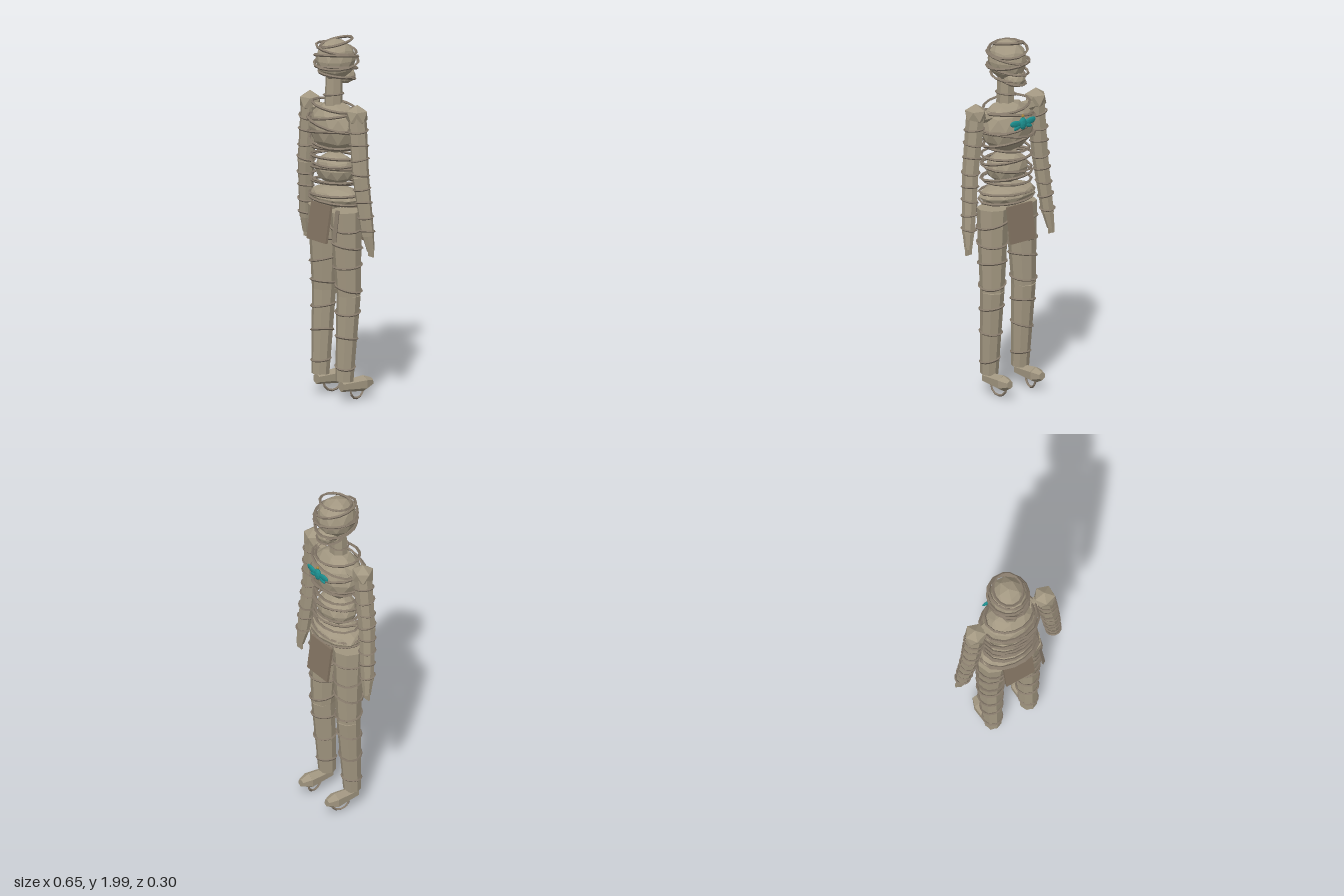
import * as THREE from 'three';

const V = (x, y, z) => new THREE.Vector3(x, y, z);

export function createModel() {
  const root = new THREE.Group();
  const mat = (name, color) => new THREE.MeshStandardMaterial({ name, color, flatShading: true, side: THREE.DoubleSide });
  const linen = mat('linen', 0xa29781);
  const wrap = mat('bandage', 0x85796a);
  const cloth = mat('loincloth', 0x847563);
  const teal = mat('teal', 0x1c9090);
  const gold = mat('gold', 0xa8843c);

  function add(name, geo, material, pos = V(0, 0, 0), scale) {
    const m = new THREE.Mesh(geo, material);
    m.name = name;
    m.position.copy(pos);
    if (scale) m.scale.set(...scale);
    root.add(m);
    return m;
  }

  // faceted ellipsoid with a vertex at the top
  const blob = (name, pos, radii, detail = 1, material = linen) =>
    add(name, new THREE.IcosahedronGeometry(1, detail).rotateZ(0.5536), material, pos, radii);

  // tapered prism from a to b
  function limb(name, a, b, ra, rb, sides = 8) {
    const d = a.clone().sub(b);
    const m = add(name, new THREE.CylinderGeometry(ra, rb, d.length(), sides), linen, a.clone().add(b).multiplyScalar(0.5));
    m.quaternion.setFromUnitVectors(V(0, 1, 0), d.normalize());
    return m;
  }

  // angular bandage hoop around c, leaning sideways by tilt and forward by pitch
  function hoop(name, c, rx, rz, tilt = 0, pitch = 0, r = 0.008) {
    const pts = [];
    for (let i = 0; i < 12; i++) {
      const a = i / 12 * Math.PI * 2, x = rx * Math.cos(a), z = rz * Math.sin(a);
      pts.push(V(c.x + x, c.y + x * tilt + z * pitch, c.z + z));
    }
    return add(name, new THREE.TubeGeometry(new THREE.CatmullRomCurve3(pts, true), 14, r, 4, true), wrap);
  }

  // head and neck
  blob('head', V(0, 1.87, 0.005), [0.103, 0.115, 0.113]);
  blob('jaw', V(0, 1.775, -0.055), [0.06, 0.045, 0.06]);
  limb('neck', V(0, 1.79, 0.015), V(0, 1.62, 0.02), 0.045, 0.05, 7);
  const headHoops = [[1.965, 0.08, 0.09, 0.12, -0.2], [1.93, 0.1, 0.113, -0.2, 0.12], [1.89, 0.108, 0.123, 0.15, 0.15],
    [1.855, 0.108, 0.125, -0.15, -0.1], [1.825, 0.104, 0.118, 0.14, 0.15], [1.79, 0.085, 0.102, -0.1, 0.15]];
  for (const [y, rx, rz, tilt, pitch] of headHoops) hoop('headBandage', V(0, y, 0), rx, rz, tilt, pitch);
  hoop('chinBandage', V(0, 1.765, -0.035), 0.07, 0.075, 0.1, 0.2);
  hoop('neckBandage', V(0, 1.68, 0.018), 0.052, 0.054, 0.15, 0, 0.006);

  // torso
  blob('chest', V(0, 1.5, 0.008), [0.166, 0.145, 0.127]);
  blob('abdomen', V(0, 1.27, 0.008), [0.128, 0.09, 0.1]);
  blob('pelvis', V(0, 1.12, 0.005), [0.18, 0.058, 0.118]);
  const torsoHoops = [[1.615, 0.14, 0.108, -0.12, 0.08], [1.57, 0.158, 0.125, 0.16, -0.1], [1.52, 0.168, 0.133, -0.18, 0.1],
    [1.475, 0.168, 0.133, 0.15, 0.1], [1.43, 0.155, 0.125, -0.14, -0.1], [1.385, 0.135, 0.11, 0.1, 0.1],
    [1.34, 0.152, 0.115, 0.03, 0.06], [1.318, 0.15, 0.118, -0.08, -0.1], [1.275, 0.148, 0.115, 0.08, 0.12],
    [1.225, 0.155, 0.115, -0.04, -0.06], [1.2, 0.15, 0.112, 0.06, 0.08],
    [1.135, 0.168, 0.114, 0.05, 0], [1.1, 0.172, 0.114, -0.03, 0.06]];
  for (const [y, rx, rz, tilt, pitch] of torsoHoops) hoop('torsoBandage', V(0, y, 0.012), rx, rz, tilt, pitch);

  // arms and legs
  for (const s of [1, -1]) {
    const side = s > 0 ? 'left' : 'right';
    const P = (x, y, z) => V(s * x, y, z);

    const shoulder = P(0.215, 1.6, 0.018), elbow = P(0.25, 1.27, 0.02), wrist = P(0.284, 0.95, -0.003);
    limb(side + 'Collarbone', P(0.1, 1.58, 0), P(0.2, 1.575, 0.015), 0.03, 0.03, 6);
    blob(side + 'Shoulder', shoulder, [0.064, 0.062, 0.064], 0);
    limb(side + 'UpperArm', shoulder, elbow, 0.051, 0.046, 7);
    limb(side + 'Forearm', elbow, wrist, 0.046, 0.035, 7);
    limb(side + 'Hand', P(0.283, 0.96, -0.003), P(0.295, 0.865, -0.015), 0.034, 0.021, 7);
    for (let i = 0; i < 4; i++)
      add(side + 'Finger', new THREE.BoxGeometry(0.008, 0.045, 0.01), linen, P(0.279 + i * 0.011, 0.857, -0.017));
    for (let i = 0; i < 8; i++) {
      const t = 0.12 + i * 0.12;
      const c = t < 0.5 ? shoulder.clone().lerp(elbow, t * 2) : elbow.clone().lerp(wrist, t * 2 - 1);
      const r = 0.055 - t * 0.016;
      hoop(side + 'ArmBandage', c, r, r, s * 0.1 + (i % 3 - 1) * 0.12, i % 2 ? 0.12 : -0.1, 0.006);
    }

    const hip = P(0.1, 1.055, 0.01), knee = P(0.112, 0.59, 0), ankle = P(0.11, 0.12, 0.026);
    limb(side + 'Thigh', hip, knee, 0.088, 0.066);
    limb(side + 'Shin', knee, ankle, 0.066, 0.049);
    [0.97, 0.865, 0.755, 0.63, 0.5, 0.36, 0.2].forEach((y, i) => {
      const c = y > 0.59 ? knee.clone().lerp(hip, (y - 0.59) / 0.465) : ankle.clone().lerp(knee, (y - 0.12) / 0.47);
      const r = 0.052 + (y - 0.2) * 0.046;
      hoop(side + 'LegBandage', c, r, r, -s * 0.12 + (i % 3 - 1) * 0.1, i % 2 ? 0.14 : -0.1, 0.007);
    });

    // foot: blunt heel, wide toe, with a loose loop below
    limb(side + 'Foot', P(0.113, 0.092, 0.05), P(0.115, 0.092, -0.095), 0.03, 0.044, 6);
    limb(side + 'Toe', P(0.115, 0.092, -0.095), P(0.115, 0.095, -0.148), 0.044, 0.022, 6);
    const loop = add(side + 'FootBandage', new THREE.TorusGeometry(0.052, 0.007, 4, 12), wrap, P(0.113, 0.066, -0.055));
    loop.rotation.y = Math.PI / 2 + s * 0.2;
  }

  // loincloth panels
  for (const [name, y, z, tilt] of [['backCloth', 0.985, 0.112, -0.16], ['frontCloth', 0.975, -0.106, 0.14]])
    add(name, new THREE.BoxGeometry(0.175, 0.205, 0.015), cloth, V(0, y, z)).rotation.x = tilt;

  // loose bandage end hanging at the hip
  const strip = add('looseStrip', new THREE.BoxGeometry(0.022, 0.17, 0.007), wrap, V(0.145, 0.99, 0.108));
  strip.rotation.set(-0.2, 0.5, 0.06);

  // winged beetle amulet
  const beetle = (name, x, y, rx, ry, tilt, rz = 0.008, m = teal) => {
    blob(name, V(x, y, -0.122), [rx, ry, rz], 1, m).rotation.z = tilt;
  };
  beetle('amuletBody', 0, 1.54, 0.024, 0.036, 0, 0.015);
  beetle('amuletBead', 0, 1.582, 0.009, 0.009, 0, 0.008, gold);
  for (const s of [1, -1]) {
    beetle('amuletWing', s * 0.052, 1.545, 0.04, 0.019, s * 0.15);
    beetle('amuletLowerWing', s * 0.04, 1.522, 0.026, 0.012, s * -0.3);
  }

  return root;
}
